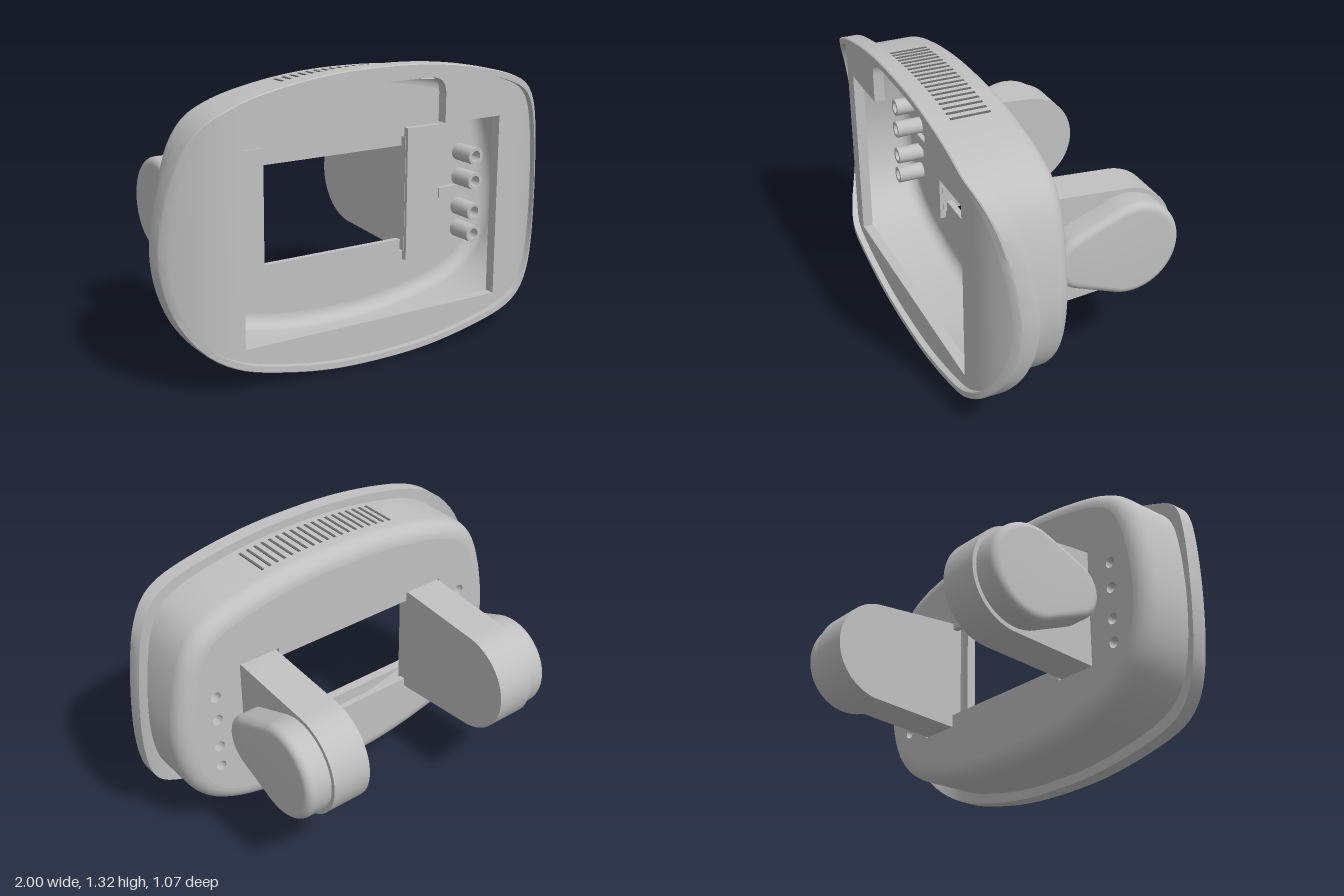
import * as THREE from 'three';
import { mergeGeometries, toCreasedNormals } from 'three/addons/utils/BufferGeometryUtils.js';

const V2 = (x, y) => new THREE.Vector2(x, y);
const grey = new THREE.MeshStandardMaterial({ color: 0xc0c0c0, side: THREE.DoubleSide });
grey.name = 'light grey plastic';
const dark = new THREE.MeshStandardMaterial({ color: 0x6a6a6a });
dark.name = 'dark slot';

// Skin between closed rings of equal length (counter-clockwise seen from the front).
function loft(rings) {
  const n = rings[0].length, pos = [], idx = [];
  rings.forEach(r => r.forEach(p => pos.push(p.x, p.y, p.z)));
  for (let k = 0; k < rings.length - 1; k++) {
    for (let i = 0; i < n; i++) {
      const j = (i + 1) % n, a = k * n, b = a + n;
      idx.push(a + i, b + i, a + j, a + j, b + i, b + j);
    }
  }
  const g = new THREE.BufferGeometry();
  g.setAttribute('position', new THREE.Float32BufferAttribute(pos, 3));
  g.setIndex(idx);
  return toCreasedNormals(g, 0.5);
}

// Flat face with holes; the shapes are symmetric in x, so the back is a half turn.
function face(points, holes, z, back = false) {
  const shape = new THREE.Shape(points.map(p => V2(p.x, p.y)));
  holes.forEach(h => shape.holes.push(new THREE.Path(h)));
  const g = new THREE.ShapeGeometry(shape);
  if (back) g.rotateY(Math.PI);
  g.translate(0, 0, z);
  g.deleteAttribute('uv');
  return g.toNonIndexed();
}

const at = (pts, z) => pts.map(p => new THREE.Vector3(p.x, p.y, z));
const circle = (x, y, r, n = 20) => Array.from({ length: n }, (_, i) =>
  V2(x + r * Math.cos(i / n * 2 * Math.PI), y + r * Math.sin(i / n * 2 * Math.PI)));

// Oval outline, right half from bottom to top, then mirrored.
const half = [[0, 0], [0.25, 0.01], [0.5, 0.05], [0.7, 0.105], [0.84, 0.185], [0.93, 0.295],
  [0.98, 0.43], [1, 0.59], [0.99, 0.74], [0.955, 0.92], [0.905, 1.06], [0.83, 1.155],
  [0.7, 1.222], [0.5, 1.272], [0.25, 1.306], [0, 1.315]];
const loop = half.concat(half.slice(1, -1).reverse().map(([x, y]) => [-x, y]));
const outline = new THREE.CatmullRomCurve3(loop.map(([x, y]) => new THREE.Vector3(x, y, 0)), true)
  .getSpacedPoints(128).slice(0, -1);
const bodyLine = outline.map(p =>
  new THREE.Vector3(p.x * 0.925, 0.66 + (p.y - 0.6575) * 0.935, 0));

// The front sweeps backwards near its sides.
const drop = x => 1.55 * Math.max(0, Math.abs(x) - 0.7) ** 2;

// Ring moved inwards by d, limited to |x| <= clamp, at depth z.
function ring(base, d, z, swept = false, clamp = 2) {
  const n = base.length;
  return base.map((p, i) => {
    const t = base[(i + 1) % n].clone().sub(base[(i + n - 1) % n]).normalize();
    const x = THREE.MathUtils.clamp(p.x - t.y * d, -clamp, clamp);
    return new THREE.Vector3(x, p.y + t.x * d, swept ? z - drop(x) : z);
  });
}

// Front opening with a rounded notch at the top.
function frontOpening() {
  const s = new THREE.Path();
  s.moveTo(-0.665, 0.18);
  s.lineTo(0.665, 0.18);
  s.lineTo(0.665, 1.03);
  s.lineTo(0.355, 1.03);
  s.lineTo(0.355, 1.16);
  s.quadraticCurveTo(0.355, 1.24, 0.26, 1.24);
  s.lineTo(-0.26, 1.24);
  s.quadraticCurveTo(-0.355, 1.24, -0.355, 1.16);
  s.lineTo(-0.355, 1.03);
  s.lineTo(-0.665, 1.03);
  return s.getPoints(8);
}

// Swept front frame with a raised rim.
function frameGeometry() {
  const open = frontOpening(), clamps = [];
  for (let i = 0; i <= 8; i++) clamps.push(0.69 + i * 0.04);
  const front = clamps.map(c => ring(outline, 0.03, 0.505, true, c));
  const back = clamps.map(c => ring(outline, 0, 0.455, true, c)).reverse();
  return mergeGeometries([
    face(front[0], [open], 0.505),
    loft([...front, ring(outline, 0.03, 0.535, true), ring(outline, 0.004, 0.535, true),
      ring(outline, 0, 0.53, true), ...back]),
    face(back[back.length - 1], [open], 0.455, true),
    loft([at(open, 0.455), at(open, 0.505)]),
  ]);
}

const tubeHeights = [0.79, 0.667, 0.517, 0.405];

// Hollow rear shell with rounded back edge and holes in its back wall.
function shellGeometry() {
  const side = [[0.375, 0.4], [0.375, 0.34], [0.585, 0.34], [0.585, 0.905], [0.375, 0.905], [0.375, 0.86]];
  const open = side.concat(side.slice().reverse().map(([x, y]) => [-x, y])).map(([x, y]) => V2(x, y));
  const holes = [open];
  for (const s of [-1, 1]) tubeHeights.forEach(y => holes.push(circle(s * 0.72, y, 0.026)));
  const outer = [ring(bodyLine, 0, 0.475, true)], inner = [ring(bodyLine, 0.035, 0.46, true)];
  for (let i = 0; i <= 7; i++) {
    const a = i / 7 * Math.PI / 2, c = 1 - Math.cos(a), s = Math.sin(a);
    outer.push(ring(bodyLine, 0.08 * c, 0.205 - 0.08 * s));
    inner.push(ring(bodyLine, 0.035 + 0.06 * c, 0.215 - 0.06 * s));
  }
  return mergeGeometries([
    loft(outer), face(outer[8], holes, 0.125, true),
    loft(inner.slice().reverse()), face(inner[8], holes, 0.155),
    ...holes.map(h => loft([at(h, 0.125), at(h, 0.155)])),
  ]);
}

// Side profile (drawn as -z, y) given thickness along x, centred on x = 0.
function sideExtrude(shape, depth, bevel = 0) {
  const g = new THREE.ExtrudeGeometry(shape, {
    depth, curveSegments: 32, bevelEnabled: bevel > 0,
    bevelSize: bevel, bevelThickness: bevel, bevelOffset: -bevel, bevelSegments: 6,
  });
  g.translate(0, 0, -depth / 2);
  g.rotateY(Math.PI / 2);
  return toCreasedNormals(g, 0.5);
}

function armShape() {
  const s = new THREE.Shape();
  s.moveTo(-0.17, 0.343);
  s.lineTo(-0.125, 0.345);
  s.absarc(0.29, 0.62, 0.245, -1.49, 1.49, false);
  s.lineTo(-0.125, 0.9);
  s.lineTo(-0.17, 0.902);
  return s;
}

function padShape() {
  const s = new THREE.Shape(), a = 1.95;
  s.absarc(0.29, 0.62, 0.225, -a, a, false);
  s.absarc(0.06, 0.62, 0.14, a, 2 * Math.PI - a, false);
  return s;
}

export function createModel() {
  const model = new THREE.Group();
  model.name = 'housing with two side arms';
  const add = (name, geometry, x = 0, y = 0, z = 0, material = grey) => {
    const m = new THREE.Mesh(geometry, material);
    m.name = name;
    m.position.set(x, y, z);
    model.add(m);
  };

  add('frontFrame', frameGeometry());
  add('rearShell', shellGeometry());

  // Arms, their mounting plates, pads, ribs and screw tubes on both sides
  const arm = sideExtrude(armShape(), 0.19), pad = sideExtrude(padShape(), 0.095, 0.035);
  const plate = new THREE.BoxGeometry(0.186, 0.645, 0.03);
  const rib = new THREE.BoxGeometry(0.13, 0.05, 0.03);
  const outerC = circle(0, 0, 0.042), innerC = circle(0, 0, 0.026);
  const tube = loft([at(innerC, 0.155), at(innerC, 0.285), at(outerC, 0.285), at(outerC, 0.15)]);
  for (const [s, side] of [[1, 'left'], [-1, 'right']]) {
    add(side + 'Arm', arm, s * 0.482);
    add(side + 'Pad', pad, s * 0.6125);
    add(side + 'MountingPlate', plate, s * 0.482, 0.6225, 0.171);
    add(side + 'Rib', rib, s * 0.65, 0.605, 0.165);
    tubeHeights.forEach(y => add(side + 'ScrewTube', tube, s * 0.72, y));
  }

  // Row of vent slots following the top of the shell
  const top = bodyLine.filter(p => p.y > 1).sort((a, b) => a.x - b.x);
  const topY = x => {
    const i = top.findIndex(p => p.x > x), a = top[i - 1], b = top[i];
    return a.y + (b.y - a.y) * (x - a.x) / (b.x - a.x);
  };
  const slot = new THREE.BoxGeometry(0.012, 0.008, 0.18);
  for (let i = -9; i <= 9; i++) add('ventSlot', slot, i * 0.04, topY(i * 0.04) - 0.001, 0.33, dark);

  return model;
}
